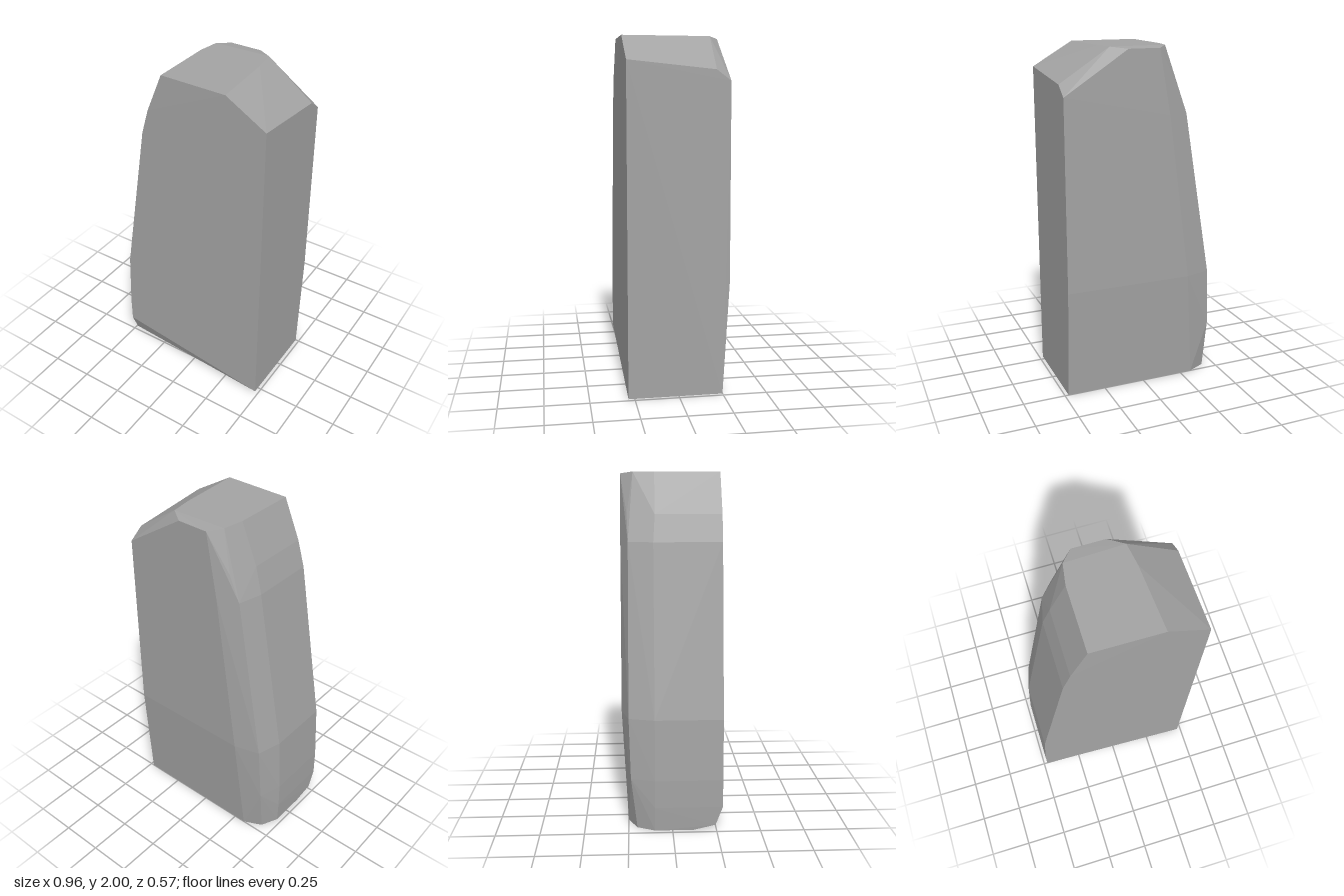
import * as THREE from 'three';
import { ConvexGeometry } from 'three/addons/geometries/ConvexGeometry.js';

// Horizontal sections of the stone: height, then [x, z] corners around the rim
const sections = [
  [2.0, [[-0.155, 0.28], [0.24, 0.285], [0.215, -0.09], [0.195, -0.22], [-0.135, -0.21], [-0.155, -0.09]]],
  [1.99, [[0.11, -0.28], [-0.075, -0.28]]],
  [1.77, [[-0.25, 0.285], [-0.25, -0.09], [-0.2, -0.245]]],
  [1.62, [[-0.295, 0.285], [-0.295, -0.1], [-0.26, -0.24], [-0.14, -0.283]]],
  [0.65, [[-0.46, 0.285], [-0.46, -0.1], [-0.42, -0.245], [-0.27, -0.285], [0.478, -0.285]]],
  [0.3, [[-0.478, 0.285], [-0.478, -0.1], [-0.435, -0.235]]],
  [0.14, [[-0.478, 0.285], [-0.478, -0.1]]],
  [0.03, [[-0.475, 0.245]]],
  [0.0, [[-0.472, 0.12], [-0.472, -0.1], [-0.425, -0.2], [-0.32, -0.25], [0.478, -0.25], [0.478, 0.285]]],
];

// Sloping shoulder on the +x side
const shoulder = [[0.478, 1.86, 0.285], [0.478, 1.81, -0.2], [0.478, 1.75, -0.28]];

export function createModel() {
  const group = new THREE.Group();
  group.name = 'standingStone';

  const stone = new THREE.MeshStandardMaterial({ color: 0xa3a3a3, flatShading: true });
  stone.name = 'grey stone';

  const points = shoulder.map((p) => new THREE.Vector3(...p));
  for (const [y, rim] of sections) {
    for (const [x, z] of rim) points.push(new THREE.Vector3(x, y, z));
  }

  // Faceted block
  const block = new THREE.Mesh(new ConvexGeometry(points), stone);
  block.name = 'stoneBlock';
  group.add(block);
  return group;
}
